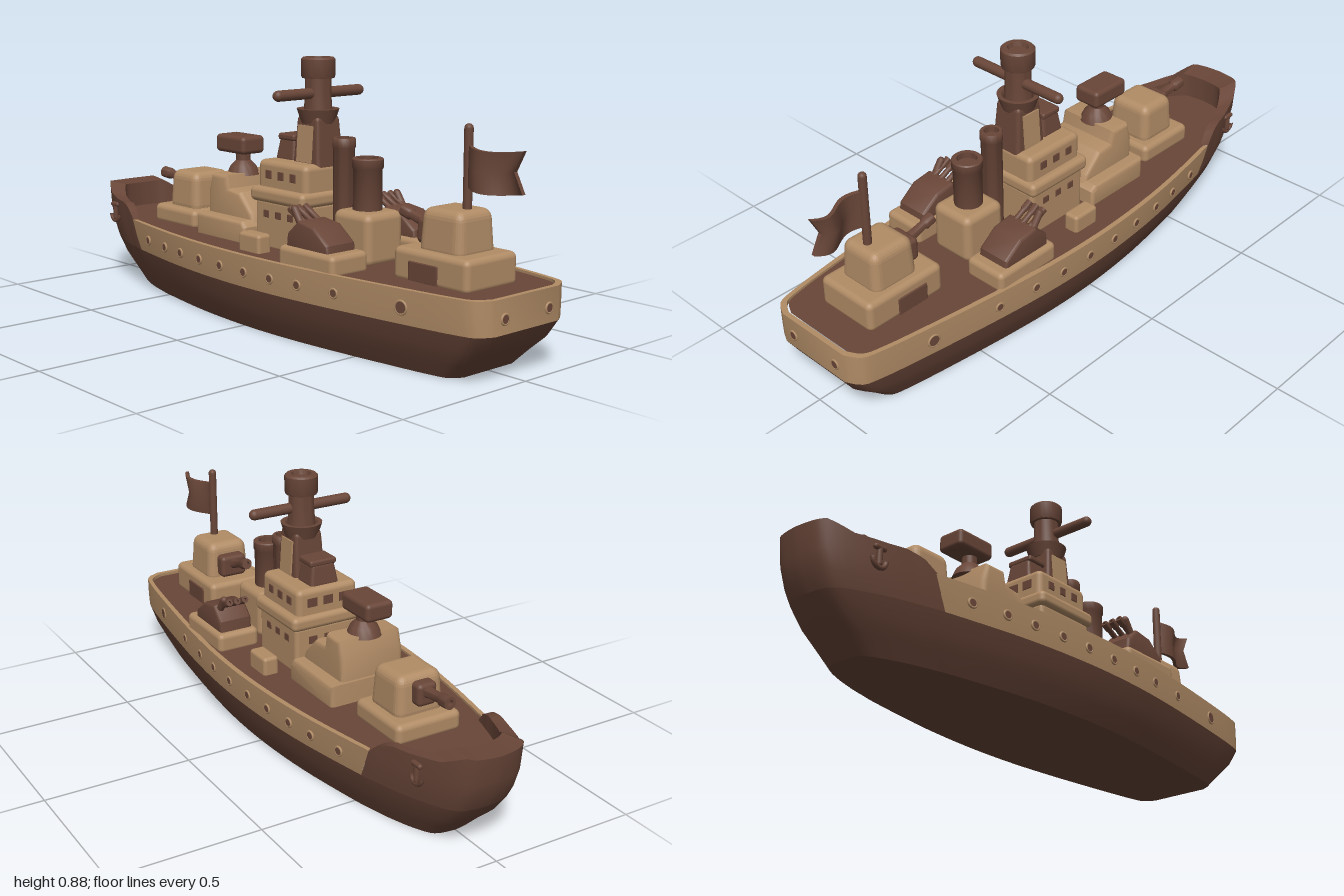
import * as THREE from 'three';
import { toCreasedNormals } from 'three/addons/utils/BufferGeometryUtils.js';
import { RoundedBoxGeometry } from 'three/addons/geometries/RoundedBoxGeometry.js';

const tan = new THREE.MeshStandardMaterial({ color: 0xb18c66 });
tan.name = 'tan paint';
const brown = new THREE.MeshStandardMaterial({ color: 0x694638 });
brown.name = 'dark brown paint';

// Sheet through rows of points; rows run up or inward, columns run bow, +z side, stern, -z side
function loft(rows) {
  const n = rows[0].length, pos = [], index = [];
  rows.forEach(r => r.forEach(p => pos.push(...p)));
  for (let i = 0; i < rows.length - 1; i++) for (let j = 0; j < n - 1; j++) {
    const a = i * n + j, c = a + n;
    index.push(a, a + 1, c, a + 1, c + 1, c);
  }
  const g = new THREE.BufferGeometry();
  g.setAttribute('position', new THREE.Float32BufferAttribute(pos, 3));
  g.setIndex(index);
  return toCreasedNormals(g, 0.6);
}

// Deck plan: [fraction from bow to stern, half width]
const PLAN = [[0, 0], [0.004, 0.06], [0.015, 0.1], [0.05, 0.14], [0.1, 0.178], [0.14, 0.2], [0.175, 0.218],
  [0.3, 0.264], [0.4, 0.288], [0.5, 0.299], [0.6, 0.296], [0.7, 0.28], [0.8, 0.256], [0.9, 0.228],
  [0.955, 0.209], [0.985, 0.19], [1, 0.14]];
const SPLIT = 6, STEPS = 3;
const spline = new THREE.SplineCurve(PLAN.map(p => new THREE.Vector2(...p)));
const side = spline.getPoints((PLAN.length - 1) * STEPS).map(p => [p.x, Math.max(p.y, 0)]);
side[side.length - 1] = [1, 0.14];
const mirror = s => s.map(([t, w]) => [t, -w]).reverse();
const bowPart = side.slice(0, SPLIT * STEPS + 1), aftPart = side.slice(SPLIT * STEPS);
const whole = [...side, ...mirror(side)];
const bow = [...mirror(bowPart), ...bowPart.slice(1)];
const aft = [...aftPart, ...mirror(aftPart)];
const ring = (pts, y, x0, x1, k, sx = 1, sz = 1) =>
  pts.map(([t, w]) => [(x0 + (x1 - x0) * t) * sx, y, w * k * sz]);

// Height of the bow bulwark along the hull
const RISE = [[0, 0.345], [0.015, 0.35], [0.05, 0.318], [0.1, 0.31], [0.13, 0.31], [0.155, 0.295], [0.175, 0.26]];
function bulwark(t) {
  for (let i = 1; i < RISE.length; i++) {
    const [a, ya] = RISE[i - 1], [b, yb] = RISE[i];
    if (t <= b) return ya + (yb - ya) * (t - a) / (b - a);
  }
  return 0.26;
}
function halfWidth(x) {
  const t = (x + 1) / 2;
  const i = Math.max(1, side.findIndex(p => p[0] >= t));
  const [a, wa] = side[i - 1], [b, wb] = side[i];
  return wa + (wb - wa) * (t - a) / (b - a);
}

export function createModel() {
  const model = new THREE.Group();
  model.name = 'warship';
  const add = (name, geo, mat, x = 0, y = 0, z = 0) => {
    const m = new THREE.Mesh(geo, mat);
    m.name = name;
    m.position.set(x, y, z);
    model.add(m);
    return m;
  };
  // Rounded block by extents, optionally narrowed towards the top
  const block = (name, mat, x0, x1, y0, y1, hz, r = 0.02, z = 0, topX = 1, topZ = 1) => {
    const h = y1 - y0, g = new RoundedBoxGeometry(x1 - x0, h, hz * 2, 3, r), p = g.attributes.position;
    for (let i = 0; i < p.count; i++) {
      const k = p.getY(i) / h + 0.5;
      p.setX(i, p.getX(i) * (1 + (topX - 1) * k));
      p.setZ(i, p.getZ(i) * (1 + (topZ - 1) * k));
    }
    if (topX !== 1 || topZ !== 1) g.computeVertexNormals();
    return add(name, g, mat, (x0 + x1) / 2, (y0 + y1) / 2, z);
  };
  const lathe = (name, mat, pts, x, y = 0, z = 0) =>
    add(name, toCreasedNormals(new THREE.LatheGeometry(pts.map(p => new THREE.Vector2(...p)), 28), 0.7), mat, x, y, z);
  // Side profile extruded across the ship
  const profile = (name, mat, pts, hz, z = 0, bevel = 0.015) => {
    const g = new THREE.ExtrudeGeometry(new THREE.Shape(pts.map(p => new THREE.Vector2(...p))), {
      depth: (hz - bevel) * 2, bevelSize: bevel, bevelThickness: bevel, bevelOffset: -bevel, bevelSegments: 3 });
    g.translate(0, 0, -(hz - bevel));
    return add(name, toCreasedNormals(g, 0.6), mat, 0, 0, z);
  };
  // Gun barrel pointing to the bow, with a thicker muzzle
  const barrel = (name, x, y, z, len, r, tilt) => {
    const m = lathe(name, brown, [[0, 0], [r * 1.4, 0], [r, len * 0.35], [r * 0.9, len * 0.7],
      [r * 1.2, len * 0.75], [r * 1.2, len], [r * 0.6, len], [r * 0.6, len * 0.9], [0, len * 0.9]], x, y, z);
    m.rotation.z = Math.PI / 2 - tilt;
    return m;
  };

  // Hull
  const keel = ring(whole, 0, -0.8, 0.86, 0.76);
  add('lowerHull', loft([keel.map(([x, y]) => [x, y, 0]), keel, ring(whole, 0.05, -0.85, 0.91, 0.85),
    ring(whole, 0.1, -0.905, 0.965, 0.925), ring(whole, 0.155, -0.945, 1, 0.98)]), brown);
  add('upperHullBand', loft([ring(aft, 0.155, -0.945, 1, 0.98), ring(aft, 0.2, -0.97, 1, 0.995),
    ring(aft, 0.26, -1, 1, 1), ring(aft, 0.26, -1, 1, 1, 0.983, 0.94), ring(aft, 0.245, -1, 1, 1, 0.983, 0.94)]), tan);
  const bowTop = bow.map(([t, w]) => [-1 + 2 * t, bulwark(t), w]);
  const inner = (p, y) => [-0.65 + (p[0] + 0.65) * 0.74, y, p[2] * 0.86];
  add('bowAndBulwark', loft([ring(bow, 0.155, -0.945, 1, 0.98), ring(bow, 0.2, -0.97, 1, 0.99),
    ring(bow, 0.26, -0.99, 1, 1), bowTop, bowTop.map(p => inner(p, p[1] - 0.004)), bowTop.map(p => inner(p, 0.25))]), brown);
  const deckEdge = ring(whole, 0.252, -1, 1, 1, 0.975, 0.945);
  add('deck', loft([deckEdge, deckEdge.map(([x, y]) => [x, y, 0])]), brown);

  // Portholes along the sides and on the stern
  const porthole = (x, y, z, r, turn) => {
    add('portholeRim', new THREE.TorusGeometry(r, 0.004, 8, 18), tan, x, y, z).rotation.y = turn;
    const glass = new THREE.CylinderGeometry(r, r, 0.006, 18).rotateX(Math.PI / 2);
    add('portholeGlass', glass, brown, x, y, z).rotation.y = turn;
  };
  for (const s of [1, -1]) {
    for (const x of [-0.52, -0.39, -0.28, -0.16, -0.04, 0.085, 0.21, 0.33, 0.48, 0.73]) {
      const slope = (halfWidth(x + 0.03) - halfWidth(x - 0.03)) / 0.06;
      const turn = s > 0 ? -Math.atan(slope) : Math.PI + Math.atan(slope);
      porthole(x, 0.205, s * halfWidth(x) * 0.996, x > 0.7 ? 0.02 : 0.014, turn);
    }
    porthole(1, 0.2, s * 0.097, 0.015, Math.PI / 2);
    // Anchors
    const z = s * (halfWidth(-0.83) + 0.004);
    add('anchorShank', new THREE.CapsuleGeometry(0.009, 0.05, 4, 10), brown, -0.83, 0.262, z);
    const fluke = add('anchorFluke', new THREE.TorusGeometry(0.025, 0.008, 8, 14, Math.PI), brown, -0.83, 0.25, z);
    fluke.rotation.z = Math.PI;
    add('anchorStock', new THREE.CapsuleGeometry(0.009, 0.03, 4, 10).rotateZ(Math.PI / 2), brown, -0.83, 0.287, z);
  }

  // Forward gun turret
  block('forwardTurretBase', tan, -0.655, -0.415, 0.24, 0.31, 0.118);
  block('forwardTurret', tan, -0.61, -0.445, 0.29, 0.437, 0.088, 0.03, 0, 0.88, 0.9);
  block('forwardMantlet', brown, -0.64, -0.59, 0.345, 0.42, 0.035, 0.015);
  barrel('forwardGun', -0.6, 0.39, 0, 0.15, 0.017, 0.08);

  // Fire control house with director on top
  profile('controlHouseBase', tan, [[-0.345, 0.24], [-0.08, 0.24], [-0.08, 0.305], [-0.1, 0.325], [-0.345, 0.325]], 0.16);
  profile('controlHouse', tan, [[-0.335, 0.3], [-0.085, 0.3], [-0.1, 0.345], [-0.165, 0.41], [-0.225, 0.415],
    [-0.235, 0.46], [-0.315, 0.46], [-0.335, 0.395]], 0.115);
  lathe('directorPedestal', brown, [[0, 0.44], [0.058, 0.45], [0.045, 0.48], [0.025, 0.5], [0.025, 0.55]], -0.28);
  block('director', brown, -0.375, -0.22, 0.525, 0.587, 0.05, 0.015);

  // Bridge
  block('bridgeLower', tan, -0.065, 0.18, 0.24, 0.41, 0.125, 0.015);
  block('bridgeLedge', tan, -0.078, 0.19, 0.4, 0.45, 0.14, 0.018);
  block('bridgeUpper', tan, -0.062, 0.178, 0.43, 0.538, 0.115, 0.02);
  for (const s of [1, -1]) {
    for (const x of [-0.005, 0.055, 0.115]) {
      block('bridgeWindow', brown, x - 0.014, x + 0.014, 0.478, 0.506, 0.003, 0.002, s * 0.115);
      block('lowerWindow', brown, x - 0.013, x + 0.013, 0.35, 0.374, 0.003, 0.002, s * 0.125);
    }
    block('deckLocker', tan, -0.03, 0.075, 0.24, 0.312, 0.028, 0.012, s * 0.198);
  }
  for (const z of [-0.06, 0, 0.06]) {
    add('frontWindow', new THREE.BoxGeometry(0.006, 0.03, 0.036), brown, -0.062, 0.492, z);
    add('frontLowerWindow', new THREE.BoxGeometry(0.006, 0.026, 0.03), brown, -0.065, 0.36, z);
  }
  block('bridgeRangefinder', brown, -0.045, 0.05, 0.53, 0.61, 0.055, 0.012, 0, 0.75, 0.75);
  block('rangefinderCap', brown, -0.035, 0.045, 0.6, 0.622, 0.05, 0.008);

  // Mast tower, collar, crossarm and crow's nest
  block('mastTower', brown, 0.045, 0.178, 0.5, 0.69, 0.062, 0.015, 0, 0.75, 0.8);
  for (const s of [1, -1]) {
    const plate = add('mastSidePanel', new THREE.BoxGeometry(0.07, 0.12, 0.008), tan, 0.11, 0.6, s * 0.057);
    plate.rotation.x = -s * 0.065;
  }
  lathe('mastCollar', brown, [[0, 0.66], [0.055, 0.665], [0.07, 0.712], [0.055, 0.712], [0.045, 0.695], [0, 0.695]], 0.11);
  lathe('mastPost', brown, [[0, 0.68], [0.048, 0.69], [0.043, 0.76], [0.043, 0.82], [0, 0.82]], 0.11);
  add('crossarm', new THREE.CapsuleGeometry(0.018, 0.35, 6, 16).rotateX(Math.PI / 2), brown, 0.115, 0.763, 0);
  lathe('crowsNest', brown, [[0, 0.808], [0.053, 0.812], [0.056, 0.82], [0.056, 0.873], [0.05, 0.879], [0.034, 0.879],
    [0.03, 0.865], [0, 0.865]], 0.11);

  // Funnels
  const funnel = (name, x, r, y0, y1) => lathe(name, brown, [[0, y0], [r, y0], [r, y1 - 0.035], [r * 1.08, y1 - 0.03],
    [r * 1.08, y1 - 0.004], [r, y1], [r * 0.7, y1], [r * 0.7, y1 - 0.02], [0, y1 - 0.02]], x);
  funnel('forwardFunnel', 0.235, 0.035, 0.25, 0.628);
  block('funnelHouse', tan, 0.265, 0.43, 0.24, 0.41, 0.08, 0.025);
  funnel('aftFunnel', 0.345, 0.047, 0.39, 0.575);

  // Side gun mounts
  for (const s of [1, -1]) {
    const z = s * 0.188;
    block('sideGunBase', tan, 0.215, 0.468, 0.24, 0.312, 0.077, 0.018, z);
    profile('sideGunShield', brown, [[0.235, 0.3], [0.43, 0.3], [0.425, 0.335], [0.36, 0.385], [0.29, 0.395], [0.24, 0.35]], 0.06, z, 0.01);
    for (const dz of [-0.03, 0, 0.03]) barrel('sideGunBarrel', 0.33, 0.365, z + dz, 0.12, 0.01, 0.5);
    const sight = add('sideGunSight', new THREE.CapsuleGeometry(0.013, 0.06, 4, 10), brown, 0.27, 0.4, s * 0.225);
    sight.rotation.z = 0.6;
  }

  // Aft gun turret
  block('aftTurretBase', tan, 0.57, 0.87, 0.24, 0.345, 0.113, 0.02);
  block('aftTurret', tan, 0.64, 0.815, 0.32, 0.47, 0.085, 0.03, 0, 0.9, 0.88);
  block('aftMantlet', brown, 0.605, 0.66, 0.35, 0.43, 0.05, 0.015);
  barrel('aftGun', 0.63, 0.395, 0, 0.13, 0.016, 0.28);
  for (const s of [1, -1])
    block('aftHatch', brown, 0.64, 0.755, 0.25, 0.31, 0.004, 0.003, s * 0.114);

  // Flag with a swallow tail
  add('flagpole', new THREE.CapsuleGeometry(0.014, 0.26, 6, 14), brown, 0.765, 0.578, 0);
  const flag = new THREE.BoxGeometry(0.2, 0.125, 0.014, 14, 2, 1).translate(0.1, 0, 0), p = flag.attributes.position;
  for (let i = 0; i < p.count; i++) {
    const x = p.getX(i);
    p.setX(i, Math.abs(p.getY(i)) < 0.01 ? x * 0.84 : x);
    p.setY(i, p.getY(i) - 0.012 * Math.sin(x * 16));
    p.setZ(i, p.getZ(i) + 0.022 * Math.sin(x * 30));
  }
  add('flag', toCreasedNormals(flag, 0.8), brown, 0.77, 0.598, 0);
  return model;
}
